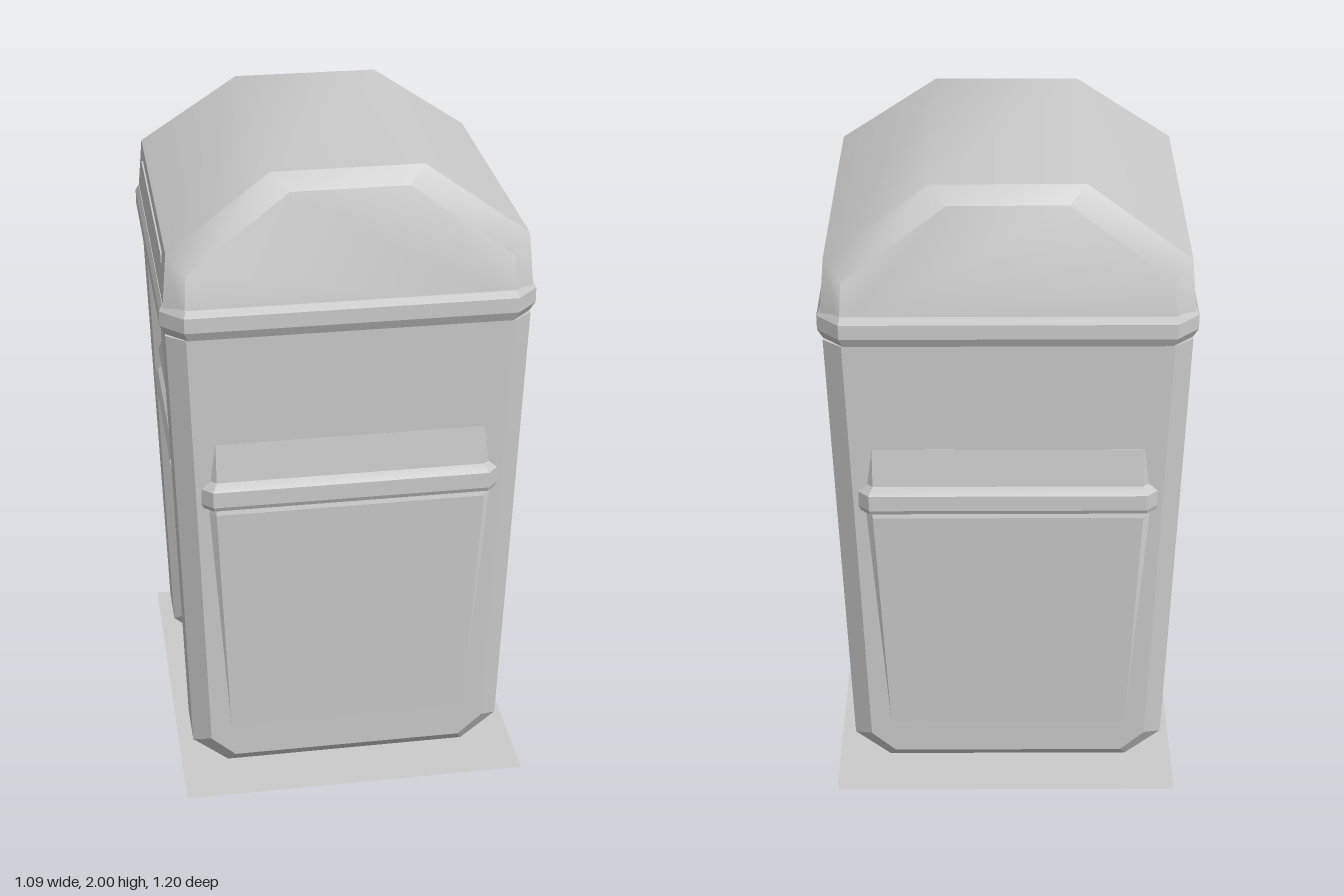
import * as THREE from 'three';
import { toCreasedNormals } from 'three/addons/utils/BufferGeometryUtils.js';

const material = new THREE.MeshStandardMaterial({ color: 0xcccccc });

// Closed skin over matching rings, each counter-clockwise seen from the end of the run.
function loft(name, rings, crease = 0.3) {
  const pos = [];
  const tri = (a, b, c) => pos.push(...a, ...b, ...c);
  const n = rings[0].length;
  for (let r = 0; r < rings.length - 1; r++) {
    const a = rings[r], b = rings[r + 1];
    for (let i = 0; i < n; i++) {
      const j = (i + 1) % n;
      tri(a[i], a[j], b[j]);
      tri(a[i], b[j], b[i]);
    }
  }
  const first = rings[0], last = rings[rings.length - 1];
  for (let i = 1; i < n - 1; i++) {
    tri(first[0], first[i + 1], first[i]);
    tri(last[0], last[i], last[i + 1]);
  }
  const geo = new THREE.BufferGeometry();
  geo.setAttribute('position', new THREE.Float32BufferAttribute(pos, 3));
  const mesh = new THREE.Mesh(toCreasedNormals(geo, crease), material);
  mesh.name = name;
  return mesh;
}

// Half outlines (bottom to top, x > 0) mirrored in x, then the run mirrored in z.
function mirroredRings(halves) {
  const front = halves.map(h => [...h, ...h.map(([x, y, z]) => [-x, y, z]).reverse()]);
  const back = front.map(r => r.map(([x, y, z]) => [x, y, -z])).reverse();
  return [...back, ...front];
}

// Horizontal rectangle with cut corners.
function octagon(y, hx, hz, c) {
  const q = [[hx, hz - c], [hx, c - hz], [hx - c, -hz], [c - hx, -hz]];
  return [...q, ...q.map(([x, z]) => [-x, -z])].map(([x, z]) => [x, y, z]);
}

// Horizontal slice of a part standing out towards +z.
function slice(y, half, out, root, flare = 0) {
  const w = half + (out - root) * flare;
  return [[-half, y, out], [half, y, out], [w, y, root], [-w, y, root]];
}

export function createModel() {
  const model = new THREE.Group();

  // Tapered body with a bevelled recess in each side
  model.add(loft('body', mirroredRings([
    [[0.32, 0.06, 0.21], [0.43, 0.155, 0.21], [0.43, 1.49, 0.21], [0.53, 1.545, 0.21]],
    [[0.38, 0.01, 0.27], [0.49, 0.1, 0.272], [0.53, 1.545, 0.3], [0.53, 1.545, 0.3]],
    [[0.38, 0.01, 0.43], [0.49, 0.1, 0.43], [0.53, 1.545, 0.475], [0.53, 1.545, 0.475]],
    [[0.36, 0.06, 0.475], [0.435, 0.13, 0.477], [0.475, 1.545, 0.52], [0.475, 1.545, 0.52]],
  ])));

  // Rim under the lid
  model.add(loft('lidRim', [
    octagon(1.545, 0.53, 0.52, 0.06),
    octagon(1.575, 0.545, 0.535, 0.065),
    octagon(1.62, 0.545, 0.535, 0.065),
    octagon(1.64, 0.535, 0.525, 0.06),
  ]));

  // Arched lid with bevelled ends
  model.add(loft('lid', mirroredRings([
    [[0.537, 1.6, 0.475], [0.52, 1.79, 0.462], [0.22, 2, 0.42]],
    [[0.478, 1.6, 0.525], [0.47, 1.74, 0.51], [0.17, 1.958, 0.472]],
  ]), 0.65));

  // Door, handle bar and hood: [height, half width, reach]
  const doorSlices = [
    [0.15, 0.37, 0.477], [0.97, 0.403, 0.522], [0.985, 0.403, 0.518], [0.99, 0.412, 0.53],
    [1.005, 0.412, 0.537], [1.055, 0.412, 0.537], [1.065, 0.408, 0.53], [1.08, 0.4, 0.522],
    [1.2, 0.4, 0.51],
  ];
  // Ribbed hopper filling the recess
  const hopperSlices = [
    [0.935, 0.21], [0.97, 0.27], [0.985, 0.272], [1.0, 0.292], [1.04, 0.3], [1.065, 0.29],
    [1.08, 0.275], [1.14, 0.285], [1.17, 0.275], [1.225, 0.275], [1.29, 0.215],
  ];
  for (const turn of [0, Math.PI]) {
    const door = loft('door', doorSlices.map(([y, w, z]) => slice(y, w, z, 0.45, 1)));
    door.rotation.y = turn;

    const hopper = loft('hopper', hopperSlices.map(([y, w]) => slice(y, w, 0.22 + w, 0.4)));
    hopper.rotation.y = turn + Math.PI / 2;

    // Thin grip along the lid side
    const grip = new THREE.Mesh(new THREE.BoxGeometry(0.014, 0.03, 0.74), material);
    grip.name = 'lidGrip';
    grip.position.set(turn ? -0.521 : 0.521, 1.74, 0);
    model.add(door, hopper, grip);
  }

  // Flat ground sheet
  const sheetMaterial = material.clone();
  sheetMaterial.side = THREE.DoubleSide;
  const sheet = new THREE.Mesh(new THREE.PlaneGeometry(1.07, 1.2), sheetMaterial);
  sheet.name = 'groundSheet';
  sheet.rotation.x = -Math.PI / 2;
  sheet.position.x = 0.008;
  model.add(sheet);

  return model;
}
